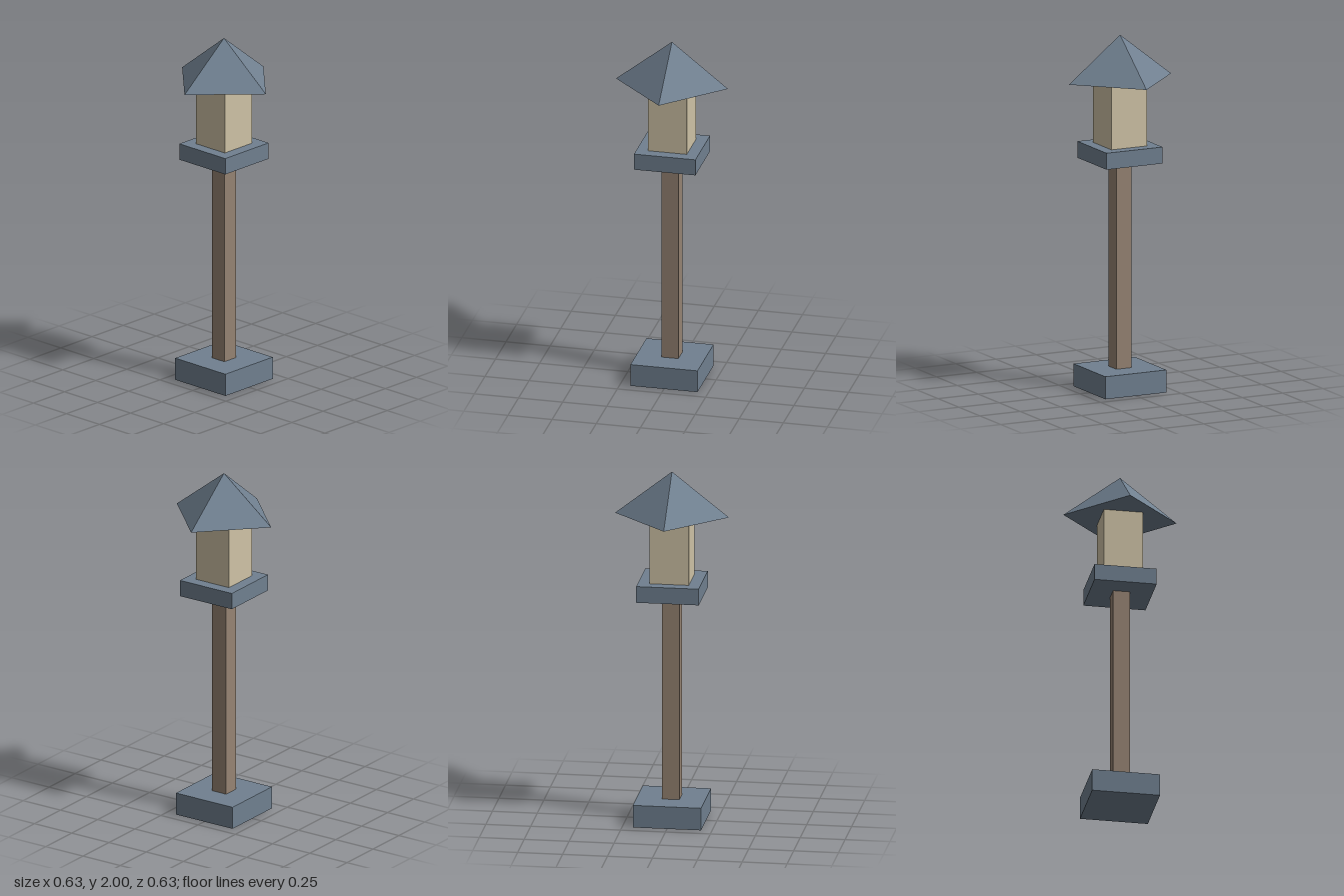
import * as THREE from 'three';

export function createModel() {
  const group = new THREE.Group();
  group.name = 'stoneLantern';

  const material = (name, color) => {
    const m = new THREE.MeshStandardMaterial({ color, flatShading: true });
    m.name = name;
    return m;
  };
  const slate = material('slate', 0x708090);
  const wood = material('wood', 0x968473);
  const paper = material('paper', 0xcfc3a6);

  const add = (name, geometry, mat, bottom, top) => {
    const mesh = new THREE.Mesh(geometry, mat);
    mesh.name = name;
    mesh.position.y = (bottom + top) / 2;
    group.add(mesh);
  };
  // Square block between two heights
  const block = (name, width, bottom, top, mat) =>
    add(name, new THREE.BoxGeometry(width, top - bottom, width), mat, bottom, top);

  block('base', 0.38, 0, 0.127, slate);
  block('post', 0.095, 0.127, 1.29, wood);
  block('platform', 0.348, 1.29, 1.383, slate);
  block('lampBox', 0.22, 1.383, 1.75, paper);

  // Four-sided roof, corners on the axes so it sits diagonally over the lamp box
  add('roof', new THREE.ConeGeometry(0.317, 0.25, 4), slate, 1.75, 2);

  return group;
}
